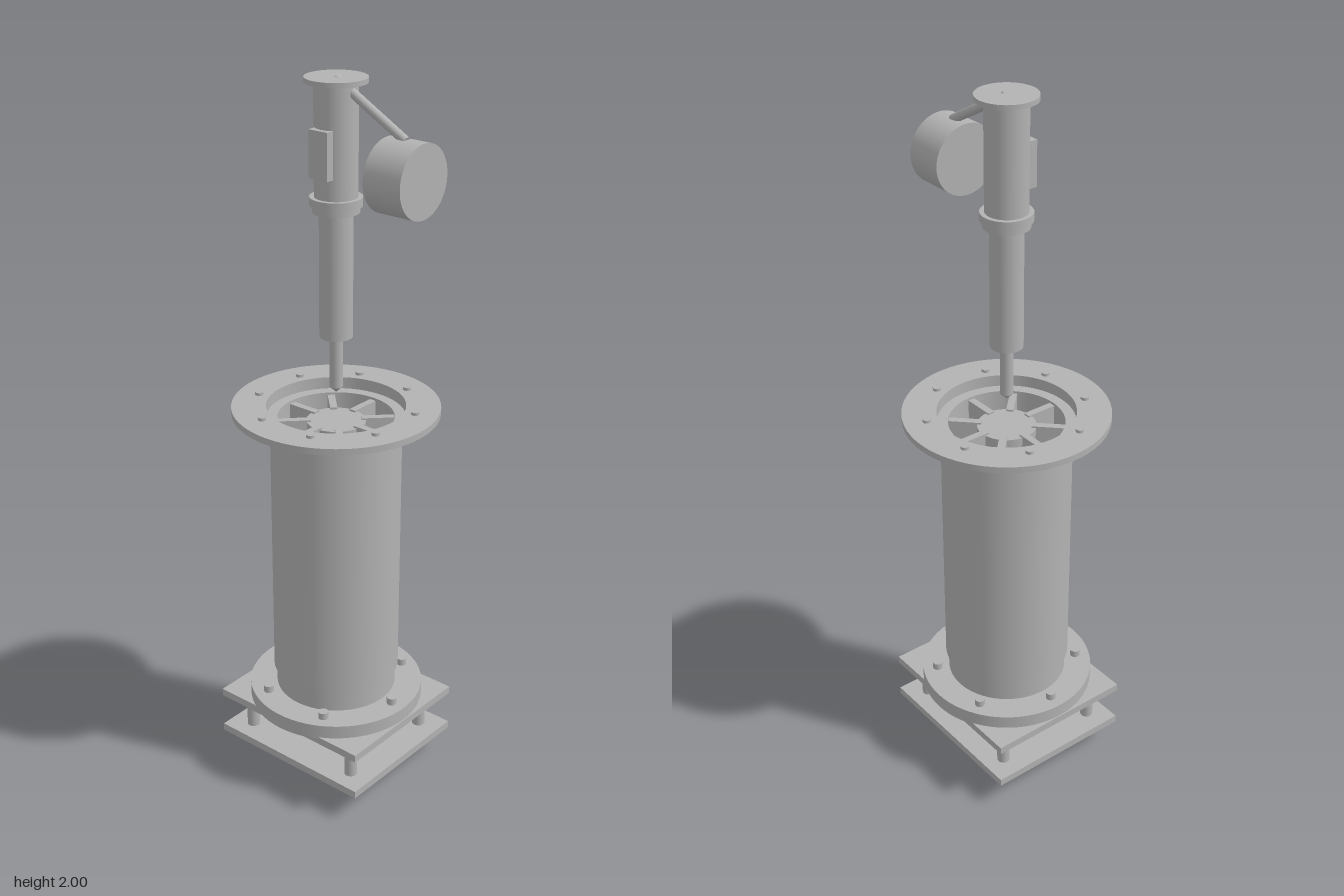
import * as THREE from 'three';

export function createModel() {
  const model = new THREE.Group();
  model.name = 'explodedValveAssembly';
  const grey = new THREE.MeshStandardMaterial({ color: 0xb2b2b2 });
  grey.name = 'plain grey';

  const add = (name, geometry, x = 0, y = 0, z = 0) => {
    const mesh = new THREE.Mesh(geometry, grey);
    mesh.name = name;
    mesh.position.set(x, y, z);
    model.add(mesh);
    return mesh;
  };
  // Upright cylinder between two heights
  const disc = (name, r, y0, y1, x = 0, z = 0, sides = 64) =>
    add(name, new THREE.CylinderGeometry(r, r, y1 - y0, sides), x, (y0 + y1) / 2, z);
  const box = (name, w, h, d, x, y, z) => add(name, new THREE.BoxGeometry(w, h, d), x, y, z);
  // Ring of small upright bolts
  const boltRing = (name, count, ringR, offset, r, y0, y1) => {
    for (let i = 0; i < count; i++) {
      const a = offset + (i / count) * Math.PI * 2;
      disc(name, r, y0, y1, Math.cos(a) * ringR, Math.sin(a) * ringR, 20);
    }
  };
  // Sharp-edged turned part: each profile segment is its own lathe
  const turned = (name, points) => {
    const group = new THREE.Group();
    group.name = name;
    for (let i = 0; i < points.length - 1; i++) {
      const pair = [points[i], points[i + 1]].map(([r, y]) => new THREE.Vector2(r, y));
      const mesh = new THREE.Mesh(new THREE.LatheGeometry(pair, 72), grey);
      mesh.name = name + 'Face';
      group.add(mesh);
    }
    model.add(group);
  };

  // Base: loose discs, two square plates and the posts between them
  disc('bottomDisc', 0.13, 0, 0.02);
  disc('middleDisc', 0.13, 0.114, 0.132);
  box('lowerPlate', 0.5, 0.022, 0.434, 0, 0.088, 0);
  box('upperPlate', 0.5, 0.022, 0.434, 0, 0.21, 0);
  for (const sx of [-1, 1]) {
    for (const sz of [-1, 1]) disc('cornerPost', 0.018, 0.0755, 0.2, sx * 0.185, sz * 0.157, 24);
  }

  // Hollow body with lower flange, neck, barrel, flared lip and stepped bore
  turned('body', [
    [0, 0.216], [0.247, 0.216], [0.247, 0.26], [0.17, 0.26], [0.17, 0.32],
    [0.178, 0.32], [0.178, 1.063], [0.262, 1.107], [0.28, 1.107], [0.28, 1.125],
    [0.187, 1.125], [0.187, 1.092], [0.157, 1.092], [0.157, 0.26], [0, 0.26],
  ]);
  boltRing('lowerFlangeBolt', 6, 0.205, 0, 0.014, 0.255, 0.28);
  boltRing('upperFlangeBolt', 8, 0.218, Math.PI / 8, 0.011, 1.12, 1.133);

  // Spoked guide inside the mouth
  disc('guideHub', 0.08, 1.02, 1.08);
  for (let i = 0; i < 8; i++) {
    const a = (i / 8) * Math.PI * 2;
    const spoke = box('guideSpoke', 0.09, 0.06, 0.02, Math.cos(a) * 0.113, 1.055, Math.sin(a) * 0.113);
    spoke.rotation.y = -a;
  }

  // Stem: pointed pin, shaft, collar, head and cap
  const tip = add('pinTip', new THREE.ConeGeometry(0.018, 0.017, 32), 0, 1.1695, 0);
  tip.rotation.x = Math.PI;
  disc('pin', 0.018, 1.178, 1.325, 0, 0, 32);
  disc('shaft', 0.044, 1.32, 1.67);
  disc('collar', 0.061, 1.655, 1.672);
  disc('collarRim', 0.068, 1.672, 1.695);
  disc('head', 0.056, 1.69, 1.982);
  disc('cap', 0.08, 1.98, 1.993);
  box('headPanel', 0.06, 0.122, 0.04, 0, 1.811, 0.05);

  // Sloping arm carrying a round gauge drum
  const start = new THREE.Vector3(0, 1.989, 0);
  const end = new THREE.Vector3(0.217, 1.868, 0);
  const arm = add('arm', new THREE.CylinderGeometry(0.012, 0.012, start.distanceTo(end), 28));
  arm.position.copy(start).add(end).multiplyScalar(0.5);
  arm.quaternion.setFromUnitVectors(new THREE.Vector3(0, 1, 0), end.clone().sub(start).normalize());
  const drum = add('gaugeDrum', new THREE.CylinderGeometry(0.094, 0.094, 0.112, 64), 0.217, 1.778, 0);
  drum.rotation.z = Math.PI / 2;

  return model;
}
